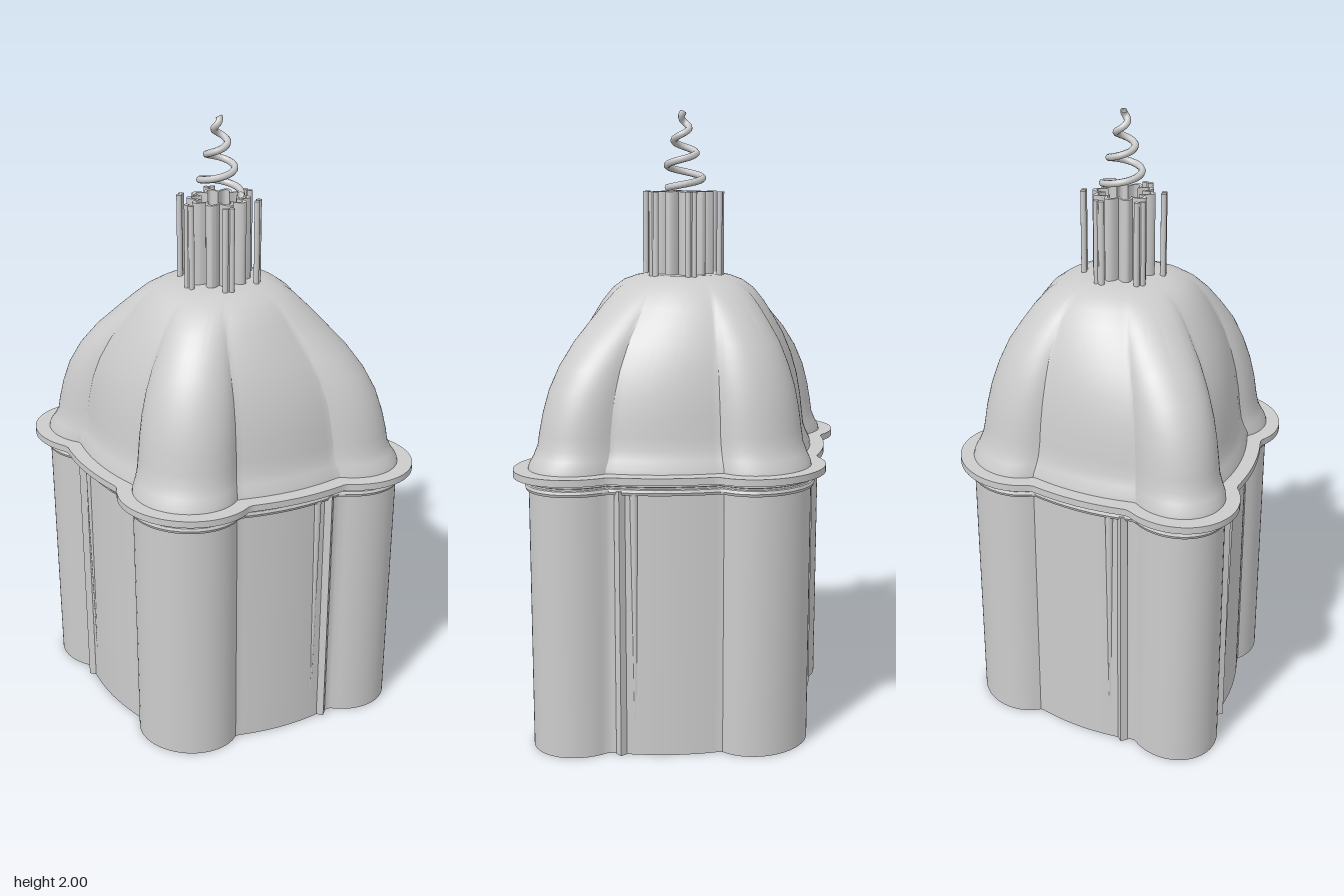
import * as THREE from 'three';
import { toCreasedNormals } from 'three/addons/utils/BufferGeometryUtils.js';

const DEPTH = 0.856; // plan is squeezed front to back
const SEG = 224;

// Radius of the four-lobed plan; offset grows it evenly.
function plan(theta, offset = 0) {
  const quarter = Math.PI / 2;
  const phi = theta - Math.round(theta / quarter) * quarter;
  const c = 0.43, r = 0.17 + offset;
  const diagonal = (0.455 + offset) / Math.cos(Math.PI / 4 - Math.abs(phi)) ** 0.4;
  const d = r * r - (c * Math.sin(phi)) ** 2;
  const lobe = d > 0 ? c * Math.cos(phi) + Math.sqrt(d) : 0;
  return Math.max(lobe, diagonal);
}

// Skin a stack of rings; each ring is { y, at(theta) -> [x, z] }.
function loft(rings, segments = SEG, crease = 0.6) {
  const pos = [], index = [];
  rings.forEach(({ y, at }) => {
    for (let i = 0; i < segments; i++) {
      const [x, z] = at((i / segments) * Math.PI * 2);
      pos.push(x, y, z);
    }
  });
  for (let k = 0; k < rings.length - 1; k++) {
    for (let i = 0; i < segments; i++) {
      const a = k * segments + i, b = k * segments + ((i + 1) % segments);
      index.push(a, a + segments, b, b, a + segments, b + segments);
    }
  }
  const g = new THREE.BufferGeometry();
  g.setAttribute('position', new THREE.Float32BufferAttribute(pos, 3));
  g.setIndex(index);
  return toCreasedNormals(g, crease);
}

const planRing = ([offset, y]) => ({
  y,
  at: (t) => {
    const r = plan(t, offset);
    return [r * Math.cos(t), r * Math.sin(t) * DEPTH];
  },
});

export function createModel() {
  const model = new THREE.Group();
  const grey = new THREE.MeshStandardMaterial({ color: 0xcccccc, side: THREE.DoubleSide });
  grey.name = 'plain grey';
  const add = (name, geometry, x = 0, y = 0, z = 0) => {
    const mesh = new THREE.Mesh(geometry, grey);
    mesh.name = name;
    mesh.position.set(x, y, z);
    model.add(mesh);
    return mesh;
  };

  // Hollow walls, open at the bottom
  add('walls', loft([[-0.025, 0.88], [-0.025, 0], [0, 0], [0, 0.86]].map(planRing)));

  // Stepped cornice with a projecting ledge
  add('cornice', loft([
    [-0.01, 0.845], [0.008, 0.847], [0.012, 0.856], [0.008, 0.865], [0.002, 0.867],
    [0.002, 0.872], [0.014, 0.876], [0.014, 0.889], [0.05, 0.889], [0.05, 0.911], [-0.02, 0.911],
  ].map(planRing)));

  // Dome: lobes melt into a circle towards the crown
  const domeProfile = [ // y, half width, half depth, roundness
    [0.905, 0.602, 0.516, 0], [0.925, 0.598, 0.51, 0], [0.95, 0.58, 0.495, 0],
    [0.98, 0.565, 0.481, 0.01], [1.02, 0.558, 0.472, 0.02], [1.08, 0.543, 0.462, 0.04],
    [1.15, 0.518, 0.444, 0.08], [1.22, 0.477, 0.418, 0.14], [1.29, 0.418, 0.383, 0.24],
    [1.35, 0.352, 0.338, 0.38], [1.4, 0.296, 0.295, 0.54], [1.44, 0.247, 0.25, 0.7],
    [1.466, 0.2, 0.205, 0.85], [1.48, 0.158, 0.16, 0.95], [1.487, 0.12, 0.12, 1], [1.489, 0.001, 0.001, 1],
  ];
  add('dome', loft(domeProfile.map(([y, w, d, round]) => ({
    y,
    at: (t) => {
      const p = THREE.MathUtils.lerp(plan(t) / 0.6, 1, round);
      return [w * p * Math.cos(t), d * p * Math.sin(t)];
    },
  })), SEG, 0.5));

  // Slim posts and tapering slivers in the notches beside the end lobes
  for (const sx of [-1, 1]) {
    for (const sz of [-1, 1]) {
      add('notchPost', new THREE.BoxGeometry(0.024, 0.86, 0.024), sx * 0.418, 0.43, sz * 0.178);
      const sliver = add('notchSliver', new THREE.CylinderGeometry(0.014, 0.004, 0.77, 8),
        sx * 0.385, 0.47, sz * 0.208);
      sliver.rotation.y = sz * sx * 0.7;
    }
  }

  // Fluted, open chimney
  const flute = (inset) => (t) => {
    const r = 0.07 + 0.03 * Math.abs(Math.sin(5 * t)) - inset;
    return [r * Math.cos(t), r * Math.sin(t)];
  };
  add('chimney', loft([
    { y: 1.47, at: flute(0) }, { y: 1.75, at: flute(0) },
    { y: 1.75, at: flute(0.014) }, { y: 1.47, at: flute(0.014) },
  ], 120));

  // Six paired rods around the chimney
  for (let i = 0; i < 6; i++) {
    const a = (i * Math.PI) / 3;
    for (const s of [-1, 1]) {
      const b = a + s * 0.08;
      add('chimneyRod', new THREE.CylinderGeometry(0.009, 0.009, 0.29, 12),
        0.126 * Math.cos(b), 1.605, 0.126 * Math.sin(b));
    }
    const web = add('rodWeb', new THREE.BoxGeometry(0.008, 0.288, 0.02),
      0.126 * Math.cos(a), 1.605, 0.126 * Math.sin(a));
    web.rotation.y = -a;
  }

  // Curl of smoke: a tapering helix
  const coil = [];
  for (let i = 0; i <= 60; i++) {
    const t = i / 60, a = t * Math.PI * 6, r = 0.07 * (1 - t) ** 0.85;
    coil.push(new THREE.Vector3(r * Math.cos(a), 1.762 + 0.238 * t, -r * Math.sin(a)));
  }
  add('smokeCurl', new THREE.TubeGeometry(new THREE.CatmullRomCurve3(coil), 150, 0.011, 8));

  return model;
}
